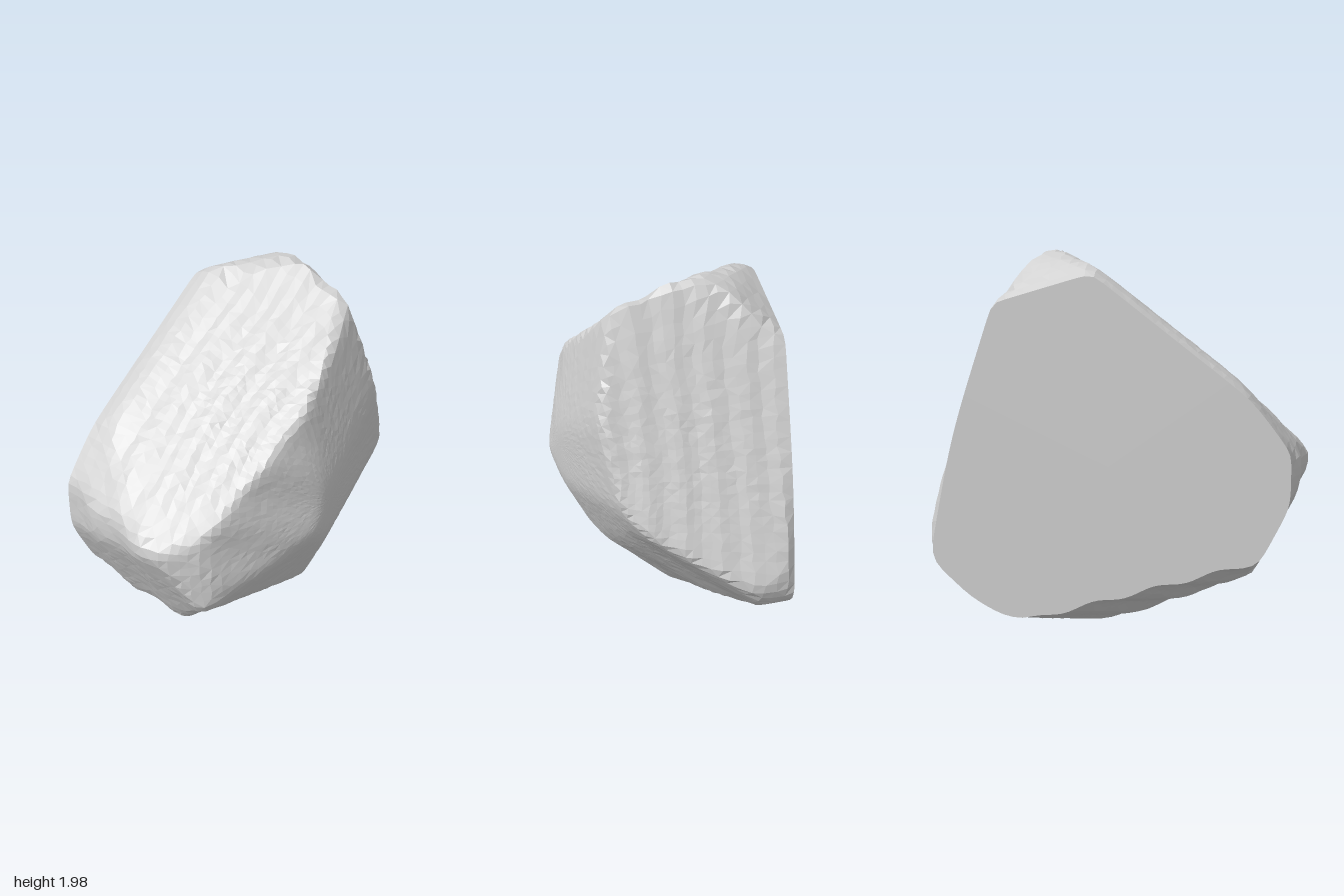
import * as THREE from 'three';

// Surface relief: parallel grooves, or a ledge that juts out above a slanting line
const grooves = (x, y, z, depth) => (p) => depth * Math.sin(x * p.x + y * p.y + z * p.z + 1);
const ledge = (p) => 0.07 * THREE.MathUtils.smoothstep(p.y + 0.31 * p.x, 0.28, 0.43);

// Cleaved faces of the boulder: outward normal, offset, relief
const faces = [
  [[1, 0.34, 0.24], 1.052, grooves(0, 0, 38, 0.005)],          // right
  [[1, 0.2, -0.8], 1.44],                                      // right back edge
  [[-0.606, 0.795, 0.28], 1.37, grooves(0, 0, 32, 0.008)],     // upper left slope
  [[-0.606, 0.795, -0.4], 1.67],                               // slope back edge
  [[0, 1, -0.2], 2.03],                                        // top, behind the peak
  [[0.3, 1, -0.7], 2.29],                                      // top back edge
  [[0.094, 0.204, 1], 0.707],                                  // front, upper right
  [[0.269, -0.065, 1], 0.425],                                 // front, middle right
  [[-0.27, 0.151, 1], 0.681, grooves(9, 18, 0, 0.005)],        // front, left half
  [[-0.1, -0.47, 1], 0.15],                                    // central ridge
  [[0.43, -0.5, 1], 0.12],                                     // lower front right
  [[0.847, -1.01, 1], -0.01, grooves(14, 4, 0, 0.005)],        // lowest front right
  [[-0.2, -0.99, 1], -0.126, ledge],                           // lower front left
  [[-0.9, -0.45, 0], 0.46, grooves(0, 0, 20, 0.008)],          // left flank
  [[-0.8, 0.6, 0], 1.35],                                      // left shoulder
  [[-1, 0, -0.1], 0.955, grooves(0, 0, 20, 0.012)],            // left end
  [[-1, 0, 0.9], 1.1],                                         // left front corner
  [[1, -0.3, 0], 0.79],                                        // right end
  [[-0.45, -1, 0], -0.05, grooves(18, 0, 18, 0.008)],          // underside left
  [[0.33, -1, 0], 0.018, grooves(18, 0, 18, 0.008)],           // underside right
  [[0.9, -1, 0], 0.41],                                        // lower right corner
  [[0, -1, -0.25], 0.005],                                     // underside back
  [[-0.31, -1, -0.55], 0.02, grooves(20, 0, 20, 0.01)],        // underside back left
].map(([n, d, relief = () => 0]) => {
  const normal = new THREE.Vector3(...n);
  const len = normal.length();
  return { normal: normal.divideScalar(len), d: d / len, relief };
});

const BACK = -0.52;       // plane of the flat back
const SHARPNESS = 80;     // how crisp the worn edges are
const EDGE_GAIN = 0.005;  // makes up for material lost to edge wear
const AROUND = 130, RINGS = 42;
const hash = (i) => { const s = Math.sin(i * 127.1 + 3.7) * 43758.5453; return s - Math.floor(s) - 0.5; };

// Smoothly blended height above the faces (negative inside)
function outside(p) {
  let sum = 0;
  for (const f of faces) {
    sum += Math.exp(SHARPNESS * (f.normal.dot(p) - f.d - f.relief(p) - EDGE_GAIN));
  }
  return Math.log(sum) / SHARPNESS;
}

// Distance from an inner point to the surface
function reach(origin, dir) {
  const p = new THREE.Vector3();
  let lo = 0, hi = 2;
  for (let k = 0; k < 24; k++) {
    const mid = (lo + hi) / 2;
    if (outside(p.copy(origin).addScaledVector(dir, mid)) < 0) lo = mid; else hi = mid;
  }
  return lo;
}

function boulderGeometry() {
  const centre = new THREE.Vector3(0, 0.95, 0);
  const backCentre = new THREE.Vector3(0, 0.95, BACK);
  const points = [], index = [];
  const dir = new THREE.Vector3();

  // Rim of the flat back, and the polar angle at which each spoke leaves it
  const rimAngles = [];
  for (let i = 0; i < AROUND; i++) {
    const a = (i / AROUND) * Math.PI * 2;
    dir.set(Math.cos(a), Math.sin(a), 0);
    const r = reach(backCentre, dir);
    rimAngles.push(Math.atan2(r, BACK));
    points.push(backCentre.clone().addScaledVector(dir, r));
  }

  // Rings closing towards the front, slightly irregular
  for (let j = 1; j < RINGS; j++) {
    for (let i = 0; i < AROUND; i++) {
      const id = j * AROUND + i;
      const a = ((i + 0.3 * hash(id)) / AROUND) * Math.PI * 2;
      const theta = rimAngles[i] * (1 - (j + 0.3 * hash(id + 9000)) / RINGS);
      dir.set(Math.cos(a) * Math.sin(theta), Math.sin(a) * Math.sin(theta), Math.cos(theta));
      const r = reach(centre, dir) + 0.004 * hash(id + 20000) * Math.sin(theta);
      const p = centre.clone().addScaledVector(dir, r);
      p.z = Math.max(p.z, BACK);
      points.push(p);
    }
  }
  const pole = points.length;
  dir.set(0, 0, 1);
  points.push(centre.clone().addScaledVector(dir, reach(centre, dir)), backCentre);

  for (let i = 0; i < AROUND; i++) {
    const n = (i + 1) % AROUND;
    for (let j = 0; j < RINGS - 1; j++) {
      const a = j * AROUND + i, b = j * AROUND + n, c = b + AROUND, d = a + AROUND;
      if ((i + j) % 2) index.push(a, b, c, a, c, d);
      else index.push(a, b, d, b, c, d);
    }
    const last = (RINGS - 1) * AROUND;
    index.push(last + i, last + n, pole);
    index.push(pole + 1, n, i);
  }

  // Separate triangles give faceted shading
  const indexed = new THREE.BufferGeometry().setFromPoints(points);
  indexed.setIndex(index);
  const geo = indexed.toNonIndexed();
  geo.computeVertexNormals();
  geo.computeBoundingBox();
  geo.translate(0, -geo.boundingBox.min.y, 0);
  return geo;
}

export function createModel() {
  const model = new THREE.Group();
  model.name = 'boulder';
  const stone = new THREE.MeshStandardMaterial({ color: 0xd0d0d0 });
  stone.name = 'grey stone';
  const rock = new THREE.Mesh(boulderGeometry(), stone);
  rock.name = 'rock';
  model.add(rock);
  return model;
}
